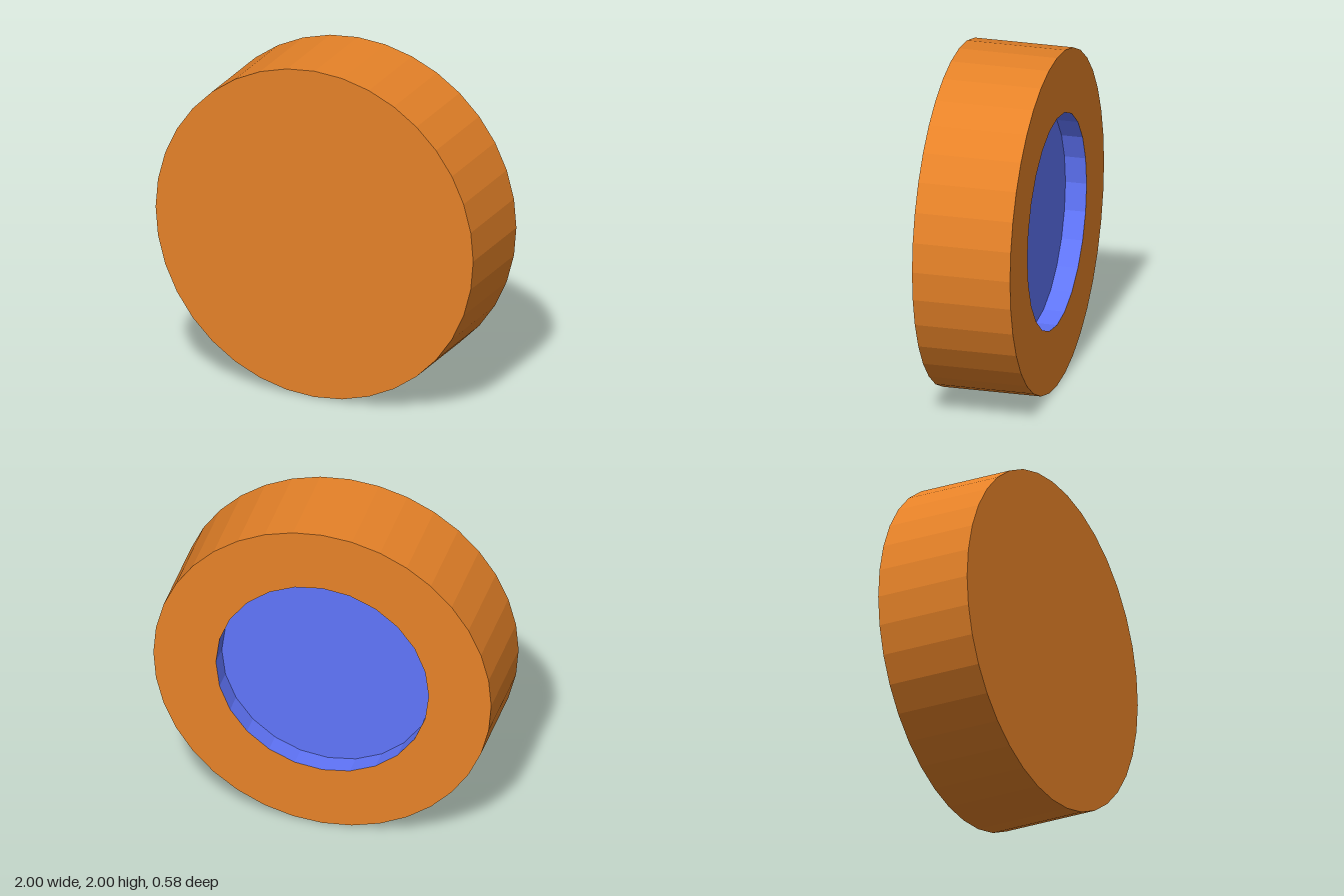
import * as THREE from 'three';

const RADIUS = 1, HALF = 0.29, SIDES = 36;
const HOLE_RADIUS = 0.63, HOLE_DEPTH = 0.125, HOLE_SIDES = 24;

// Regular polygon outline with a corner on +x
function polygon(radius, sides) {
  return Array.from({ length: sides }, (_, i) => {
    const a = (i / sides) * Math.PI * 2;
    return new THREE.Vector2(Math.cos(a) * radius, Math.sin(a) * radius);
  });
}

export function createModel() {
  const group = new THREE.Group();
  group.name = 'recessedDisc';
  const orange = new THREE.MeshStandardMaterial({ color: 0xe68228, flatShading: true });
  const blue = new THREE.MeshStandardMaterial({ color: 0x6075fa, flatShading: true });
  const blueInside = blue.clone();
  blueInside.side = THREE.DoubleSide;

  const add = (name, geometry, material, z) => {
    const mesh = new THREE.Mesh(geometry, material);
    mesh.name = name;
    mesh.position.set(0, RADIUS, z);
    group.add(mesh);
  };

  // Solid outer body: rim and closed front
  add('outerRim', new THREE.CylinderGeometry(RADIUS, RADIUS, HALF * 2, SIDES, 1, true).rotateX(Math.PI / 2), orange, 0);
  add('frontFace', new THREE.CircleGeometry(RADIUS, SIDES), orange, HALF);

  // Back ring around the recess
  const ring = new THREE.Shape(polygon(RADIUS, SIDES));
  ring.holes.push(new THREE.Path(polygon(HOLE_RADIUS, HOLE_SIDES)));
  add('backRing', new THREE.ShapeGeometry(ring).rotateY(Math.PI), orange, -HALF);

  // Shallow round recess in the back
  const wall = new THREE.CylinderGeometry(HOLE_RADIUS, HOLE_RADIUS, HOLE_DEPTH, HOLE_SIDES, 1, true);
  add('recessWall', wall.rotateX(Math.PI / 2), blueInside, -HALF + HOLE_DEPTH / 2);
  add('recessFloor', new THREE.CircleGeometry(HOLE_RADIUS, HOLE_SIDES).rotateY(Math.PI), blue, -HALF + HOLE_DEPTH);

  return group;
}
